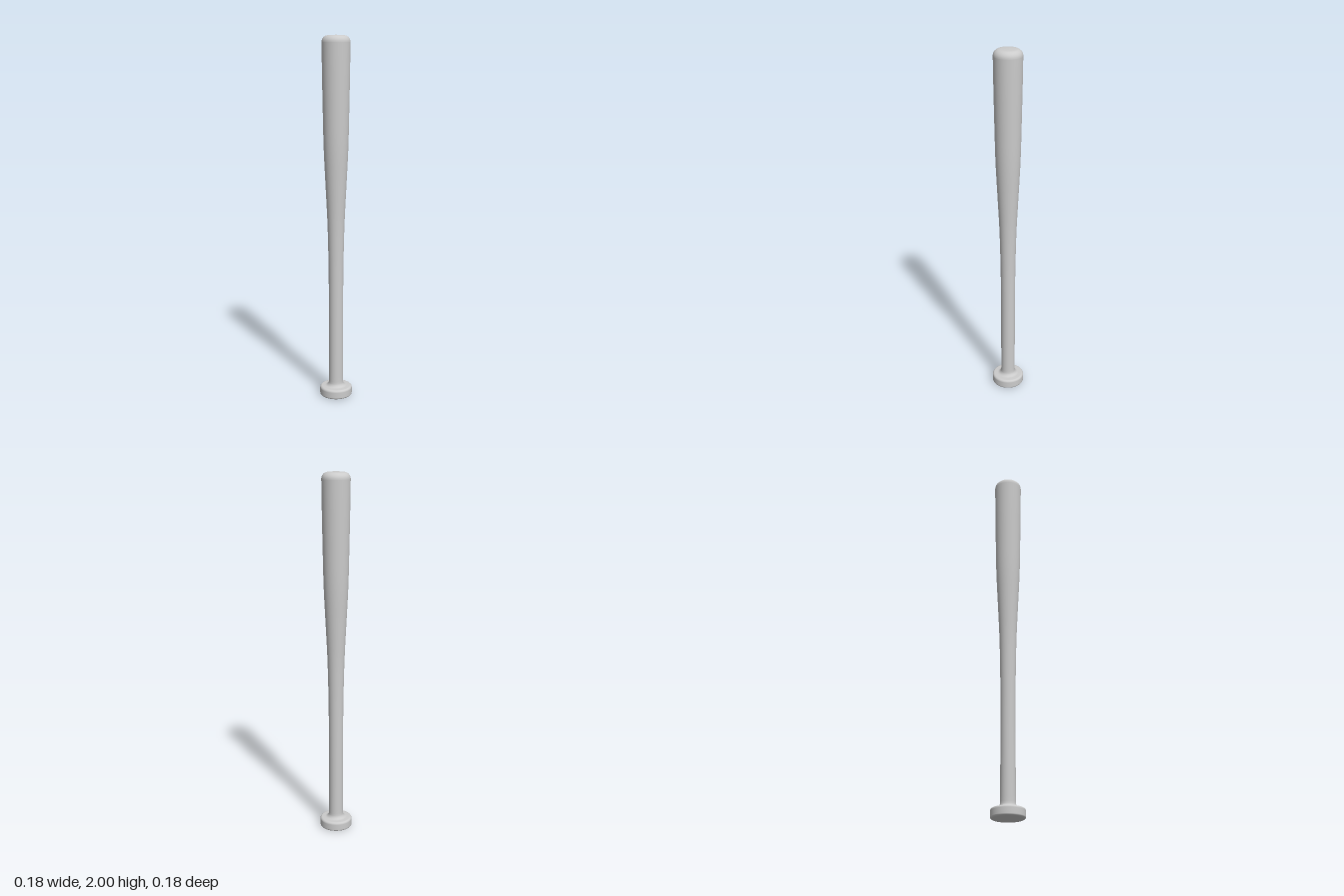
import * as THREE from 'three';

const SEGMENTS = 64;
const material = new THREE.MeshStandardMaterial({ color: 0xcccccc });
const v = (r, y) => new THREE.Vector2(r, y);

// Quarter-round points about (r, y), from angle a to b in degrees
function arc(r, y, rx, ry, a, b, steps) {
  const points = [];
  for (let i = 0; i <= steps; i++) {
    const t = THREE.MathUtils.degToRad(a + ((b - a) * i) / steps);
    points.push(v(r + rx * Math.cos(t), y + ry * Math.sin(t)));
  }
  return points;
}

function turned(name, profile) {
  const mesh = new THREE.Mesh(new THREE.LatheGeometry(profile, SEGMENTS), material);
  mesh.name = name;
  return mesh;
}

export function createModel() {
  const bat = new THREE.Group();
  bat.name = 'baseballBat';

  // Knob: flat base, rounded rim, nearly flat shoulder
  bat.add(turned('knob', [
    v(0, 0), v(0.078, 0),
    ...arc(0.08, 0.01, 0.01, 0.01, -90, 0, 5),
    ...arc(0.078, 0.04, 0.012, 0.013, 0, 90, 6),
    v(0.06, 0.054), v(0.048, 0.055), v(0.03, 0.055),
  ]));

  // Flare rising from the knob, thin handle and swelling barrel
  const shaft = new THREE.SplineCurve([
    v(0.04, 0.085), v(0.0395, 0.3), v(0.04, 0.6), v(0.042, 0.8),
    v(0.047, 1.0), v(0.0565, 1.2), v(0.066, 1.4), v(0.0705, 1.6),
    v(0.074, 1.8), v(0.076, 1.962),
  ]).getPoints(48);
  // Concave fillet where the handle meets the knob
  const flare = arc(0.06, 0.08, 0.02, 0.026, 270, 180, 6).slice(0, -1);

  // Rounded tip closing in a slightly domed end
  const tip = arc(0.042, 1.964, 0.034, 0.034, 0, 84, 8);
  bat.add(turned('handleAndBarrel', [...flare, ...shaft, ...tip, v(0.03, 1.9992), v(0, 2)]));

  return bat;
}
